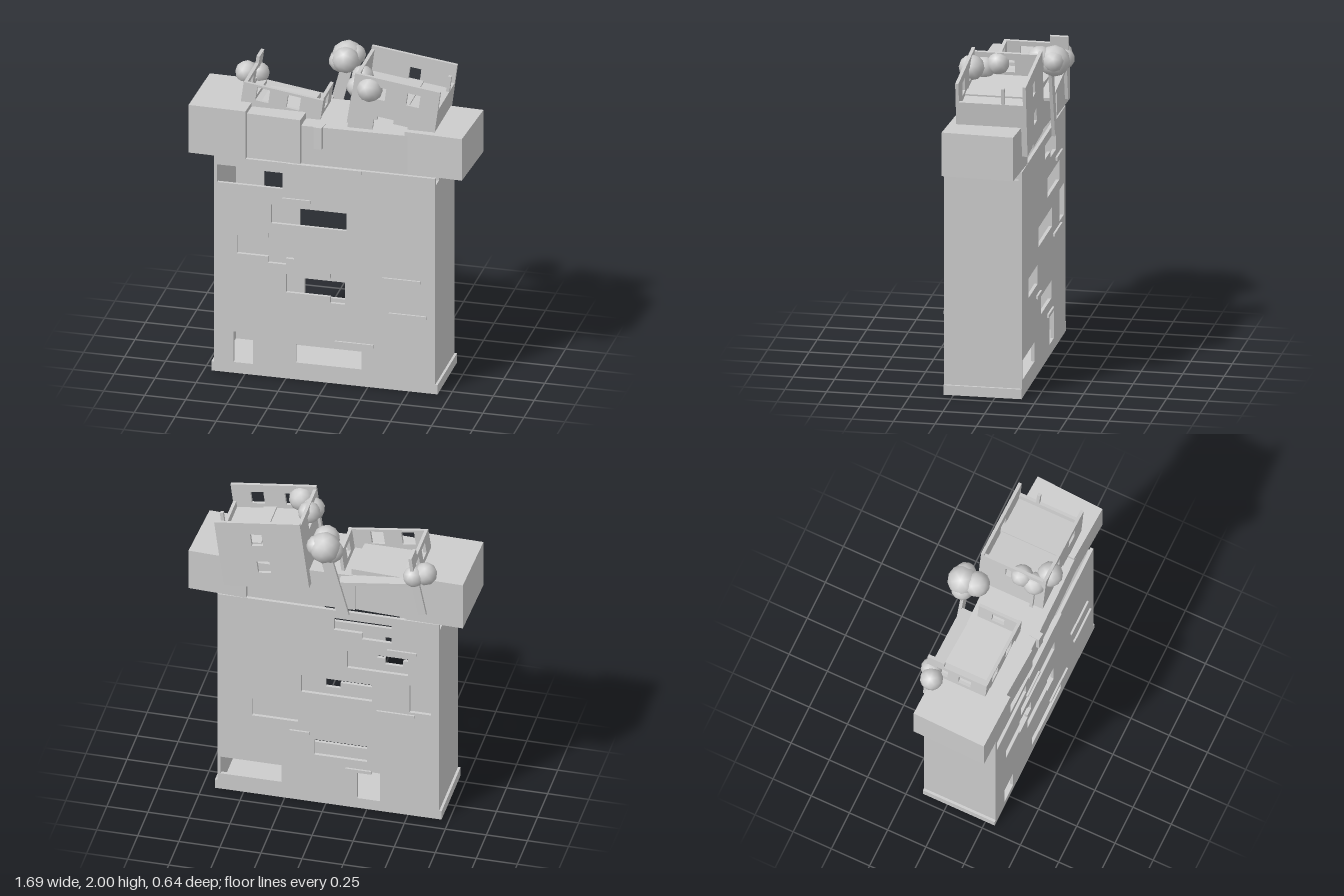
import * as THREE from 'three';

const stone = new THREE.MeshStandardMaterial({ color: 0xcccccc });
stone.name = 'pale grey';

function add(parent, name, geometry, x = 0, y = 0, z = 0) {
  const mesh = new THREE.Mesh(geometry, stone);
  mesh.name = name;
  mesh.position.set(x, y, z);
  parent.add(mesh);
  return mesh;
}

// Box given by its limits, optionally turned about its own centre
function block(parent, name, x0, x1, y0, y1, z0, z1, turnY = 0, turnZ = 0) {
  const mesh = add(parent, name, new THREE.BoxGeometry(x1 - x0, y1 - y0, z1 - z0),
    (x0 + x1) / 2, (y0 + y1) / 2, (z0 + z1) / 2);
  mesh.rotation.set(0, turnY, turnZ);
  return mesh;
}

// Rectangular opening [x0, x1, y0, y1], with an optional taller section [.., bx0, bx1, by0, by1]
function opening([x0, x1, y0, y1, b0, b1, c0, c1]) {
  let pts = [[x0, y0], [x1, y0], [x1, y1], [x0, y1]];
  if (b0 !== undefined) {
    pts = [[x0, y0], [b0, y0], [b0, c0], [b1, c0], [b1, y0], [x1, y0],
      [x1, y1], [b1, y1], [b1, c1], [b0, c1], [b0, y1], [x0, y1]];
  }
  pts = pts.filter((p, i) => {
    const q = pts[(i + 1) % pts.length];
    return p[0] !== q[0] || p[1] !== q[1];
  });
  return new THREE.Path(pts.map(([x, y]) => new THREE.Vector2(x, y)));
}

// Upright slab in the xy plane with openings cut through it
function wallGeometry(x0, x1, y0, y1, depth, holes) {
  const shape = new THREE.Shape([[x0, y0], [x1, y0], [x1, y1], [x0, y1]]
    .map(([x, y]) => new THREE.Vector2(x, y)));
  shape.holes = holes.map(opening);
  return new THREE.ExtrudeGeometry(shape, { depth, bevelEnabled: false });
}

// Side wall: slab whose length runs along -z
function sideWall(parent, name, x, zFront, length, height, holes) {
  add(parent, name, wallGeometry(0, length, 0, height, 0.02, holes), x, 0, zFront)
    .rotation.y = Math.PI / 2;
}

// Clump of rounded foliage, each ball [x, y, z, radius]
function foliage(parent, name, balls) {
  const group = new THREE.Group();
  group.name = name;
  balls.forEach(([x, y, z, r], i) => {
    const ball = add(group, 'leafBall', new THREE.IcosahedronGeometry(r, 1), x, y, z);
    ball.rotation.set(i * 0.9, i * 1.7, 0.4);
  });
  parent.add(group);
}

function house(parent, name, x, y, angle) {
  const group = new THREE.Group();
  group.name = name;
  group.position.set(x, y, 0);
  group.rotation.z = angle;
  parent.add(group);
  return group;
}

export function createModel() {
  const model = new THREE.Group();
  model.name = 'ruinedBlock';

  // Hollow main building
  add(model, 'frontWall', wallGeometry(-0.69, 0.66, 0, 1.4, 0.02, [
    [-0.67, -0.27, 1.23, 1.345],
    [-0.34, 0.12, 1.0, 1.12],
    [-0.55, -0.2, 0.78, 0.9, -0.36, -0.25, 0.74, 0.935],
    [-0.25, 0.11, 0.56, 0.68, 0.02, 0.11, 0.52, 0.71],
    [-0.57, -0.45, 0.07, 0.27],
    [-0.19, 0.21, 0.11, 0.23],
  ]), 0, 0, 0.29);
  add(model, 'backWall', wallGeometry(-0.69, 0.66, 0, 1.4, 0.02, [
    [-0.4, -0.05, 1.26, 1.345, -0.4, -0.22, 1.22, 1.345],
    [-0.5, -0.13, 1.0, 1.12],
    [-0.28, 0.15, 0.78, 0.9],
    [-0.64, -0.51, 0.74, 0.935],
    [0.17, 0.45, 0.56, 0.68],
    [-0.25, 0.07, 0.34, 0.45],
    [0.27, 0.64, 0.11, 0.23],
    [-0.33, -0.19, 0.07, 0.27],
  ]), 0, 0, -0.16);
  block(model, 'groundFloor', -0.68, 0.65, 0, 0.012, -0.15, 0.3);
  for (const [x0, x1, t0, t1] of [[-0.69, -0.67, -0.705, -0.69], [0.64, 0.66, 0.66, 0.675]]) {
    block(model, 'endWall', x0, x1, 0, 1.35, -0.14, 0.29);
    block(model, 'baseTrim', t0, t1, 0, 0.06, -0.16, 0.31);
    for (const z of [-0.06, 0.205]) block(model, 'endStud', x0, x1, 1.35, 1.38, z - 0.015, z + 0.015);
  }
  block(model, 'lintel', -0.235, 0.21, 1.375, 1.4, 0.305, 0.315);

  // Ledges on both faces
  for (const [x0, x1, y] of [[-0.27, -0.1, 1.165], [0.34, 0.57, 0.715], [0.38, 0.61, 0.49], [0.05, 0.285, 0.27]]) {
    block(model, 'frontLedge', x0, x1, y - 0.01, y + 0.01, 0.305, 0.322);
  }
  for (const [x0, x1, y] of [[-0.555, -0.375, 1.165], [-0.54, -0.31, 0.715], [0.1, 0.22, 0.49], [-0.28, -0.12, 0.27]]) {
    block(model, 'backLedge', x0, x1, y - 0.01, y + 0.01, -0.172, -0.155);
  }

  // Row of overhanging blocks
  for (const [x0, x1, y1, z0, z1, turn] of [
    [-0.84, -0.49, 1.71, -0.155, 0.31, -0.025],
    [-0.49, -0.155, 1.685, -0.125, 0.293, -0.05],
    [-0.165, 0.165, 1.645, -0.13, 0.285, 0.02],
    [0.155, 0.49, 1.645, -0.13, 0.28, 0.02],
    [0.475, 0.83, 1.67, -0.15, 0.285, -0.05],
  ]) block(model, 'topBlock', x0, x1, 1.4, y1, z0, z1, turn);
  block(model, 'spout', -0.08, -0.03, 1.51, 1.65, 0.24, 0.307, -0.1);

  // Low leaning house, open at the back
  const low = house(model, 'lowHouse', -0.56, 1.70, -0.14);
  block(low, 'floor', 0, 0.48, -0.02, 0, -0.2, 0.175);
  add(low, 'frontWall', wallGeometry(0, 0.49, -0.06, 0.14, 0.02, [
    [0.085, 0.165, 0.04, 0.125], [0.275, 0.355, 0.04, 0.125],
  ]), 0, 0, 0.16);
  sideWall(low, 'leftEndWall', 0, 0.16, 0.37, 0.14, [[0.08, 0.16, 0.04, 0.11], [0.23, 0.3, 0.04, 0.11]]);
  sideWall(low, 'rightEndWall', 0.465, 0.16, 0.25, 0.14, [[0.08, 0.16, 0.04, 0.11]]);
  block(low, 'brokenPost', 0, 0.02, 0.13, 0.185, -0.21, -0.1);

  // Tall leaning house
  const tall = house(model, 'tallHouse', 0.095, 1.553, -0.13);
  add(tall, 'frontWall', wallGeometry(0, 0.525, 0, 0.45, 0.02, [
    [0.12, 0.2, 0.315, 0.395], [0.33, 0.41, 0.32, 0.4],
    [0.15, 0.36, 0.08, 0.18, 0.17, 0.27, 0.08, 0.205],
  ]), 0, 0, 0.22);
  add(tall, 'backWall', wallGeometry(0, 0.525, 0, 0.45, 0.02, [
    [0.245, 0.315, 0.29, 0.37], [0.22, 0.3, 0.1, 0.18],
  ]), 0, 0, -0.185);
  sideWall(tall, 'leftEndWall', 0, 0.22, 0.385, 0.43, [[0.16, 0.24, 0.31, 0.39]]);
  sideWall(tall, 'rightEndWall', 0.505, 0.22, 0.385, 0.33, []);
  block(tall, 'upperFloor', 0.02, 0.505, 0.27, 0.29, -0.165, 0.22);
  block(tall, 'floorStep', 0.26, 0.34, 0.29, 0.3, -0.165, 0.22);
  block(tall, 'brokenPost', 0.505, 0.525, 0.32, 0.43, -0.055, -0.035);

  // Trees: flat leaning trunks with clumped foliage
  block(model, 'middleTrunk', -0.1, -0.03, 1.4, 1.83, -0.215, -0.195, 0, -0.26);
  foliage(model, 'middleTree', [
    [-0.01, 1.89, -0.225, 0.095], [0.0, 1.9, -0.14, 0.08],
    [-0.05, 1.86, -0.21, 0.07], [0.035, 1.9, -0.23, 0.065],
  ]);
  block(model, 'leftTrunk', -0.595, -0.545, 1.48, 1.74, -0.2, -0.18, 0, -0.2);
  foliage(model, 'leftTree', [[-0.605, 1.75, -0.15, 0.07], [-0.54, 1.74, -0.18, 0.065]]);
  block(model, 'rightTrunk', 0.105, 0.135, 1.62, 1.9, 0.16, 0.18, 0, -0.15);
  foliage(model, 'rightTree', [
    [0.24, 1.9, 0.225, 0.078], [0.16, 1.91, 0.08, 0.068], [0.155, 1.88, 0.165, 0.07],
  ]);

  return model;
}
